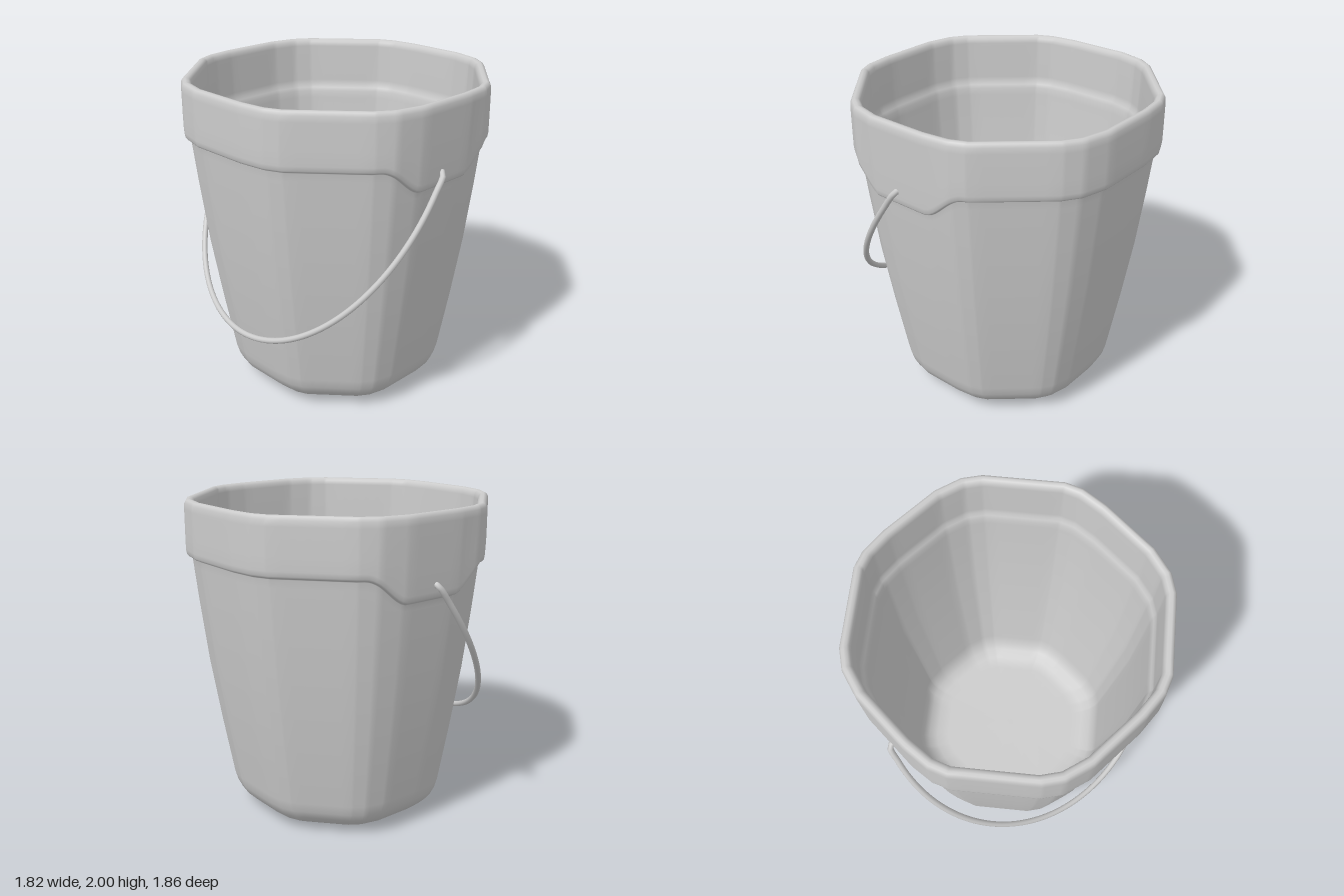
import * as THREE from 'three';

const material = new THREE.MeshStandardMaterial({ color: 0xcccccc, side: THREE.DoubleSide });
const { smoothstep } = THREE.MathUtils;

// Rounded octagon, slightly twisted: one quarter, repeated four times and subdivided.
function octagonOutline(steps) {
  const quarter = [[0.81, -0.46], [0.86, -0.36], [0.89, -0.19], [0.908, 0.19], [0.875, 0.36], [0.81, 0.47]];
  const corners = [];
  for (let q = 0; q < 4; q++) {
    for (const [x, z] of quarter) {
      corners.push([[x, z], [-z, x], [-x, -z], [z, -x]][q]);
    }
  }
  const points = [];
  corners.forEach(([x, z], i) => {
    const [nx, nz] = corners[(i + 1) % corners.length];
    for (let s = 0; s < steps; s++) {
      const t = s / steps;
      points.push([x + (nx - x) * t, z + (nz - z) * t]);
    }
  });
  return points;
}

// Outside, from the base up to the rim: [radius, height].
const outside = [
  [0.3, 0], [0.46, 0], [0.52, 0.02], [0.58, 0.055], [0.63, 0.105], [0.655, 0.155],
  [0.673, 0.22], [0.738, 0.6], [0.8, 1], [0.845, 1.38], [0.868, 1.6], [0.873, 1.648],
  [0.877, 1.653], [0.896, 1.66], [0.905, 1.672], [0.909, 1.7], [0.909, 1.78], [0.908, 1.94],
];

// Over the rim, past the ledge and down to the inner floor.
const inside = [
  [0.906, 1.975], [0.896, 1.994], [0.882, 2], [0.864, 1.996], [0.851, 1.982], [0.845, 1.955],
  [0.84, 1.72], [0.837, 1.69], [0.826, 1.668], [0.816, 1.645], [0.812, 1.6], [0.765, 1],
  [0.64, 0.23], [0.62, 0.16], [0.585, 0.11], [0.53, 0.08], [0.45, 0.07],
];

// How far the handle tabs pull a point down (0..1): front and back only,
// strongest at the lower edge of the rim band.
function tabAmount(x, z, y) {
  if (Math.abs(z) < 0.6) return 0;
  const across = 1 - smoothstep(Math.abs(x), 0.18, 0.43);
  return across * smoothstep(y, 1.38, 1.648) * (1 - smoothstep(y, 1.68, 1.94));
}

function bucketGeometry() {
  const outline = octagonOutline(6);
  const n = outline.length;
  const positions = [];
  const index = [];
  const addRing = (radius, y, hasTab) => {
    for (const [x, z] of outline) {
      const tab = hasTab ? tabAmount(x, z, y) : 0;
      const scale = (radius - 0.015 * tab) / 0.908;
      positions.push(x * scale, y - 0.15 * tab, z * scale);
    }
  };
  outside.forEach(([radius, y]) => addRing(radius, y, true));
  inside.forEach(([radius, y]) => addRing(radius, y, false));

  const last = (outside.length + inside.length - 1) * n;
  for (let ring = 0; ring < last; ring += n) {
    for (let i = 0; i < n; i++) {
      const a = ring + i, b = ring + (i + 1) % n;
      index.push(a, a + n, b, b, a + n, b + n);
    }
  }
  // Close the underside and the inner floor.
  const under = positions.length / 3;
  positions.push(0, 0, 0, 0, 0.07, 0);
  for (let i = 0; i < n; i++) {
    const j = (i + 1) % n;
    index.push(under, i, j, under + 1, last + j, last + i);
  }
  const geometry = new THREE.BufferGeometry();
  geometry.setAttribute('position', new THREE.Float32BufferAttribute(positions, 3));
  geometry.setIndex(index);
  geometry.computeVertexNormals();
  return geometry;
}

// Wire bail: part of an ellipse in a plane hanging down towards -x.
function handleGeometry() {
  const points = [];
  const start = Math.asin(-0.2 / 1.16);
  for (let i = 0; i <= 32; i++) {
    const angle = start + (Math.PI - 2 * start) * (i / 32);
    const along = (0.2 + 1.16 * Math.sin(angle)) / 1.36;
    points.push(new THREE.Vector3(-0.025 - 0.775 * along, 1.585 - 1.09 * along, 0.915 * Math.cos(angle)));
  }
  // Ends turn inwards into the tabs.
  points.unshift(new THREE.Vector3(-0.02, 1.595, 0.86));
  points.push(new THREE.Vector3(-0.02, 1.595, -0.86));
  return new THREE.TubeGeometry(new THREE.CatmullRomCurve3(points), 120, 0.018, 10, false);
}

export function createModel() {
  const group = new THREE.Group();
  group.name = 'bucket';
  const body = new THREE.Mesh(bucketGeometry(), material);
  body.name = 'bucketBody';
  const handle = new THREE.Mesh(handleGeometry(), material);
  handle.name = 'handle';
  group.add(body, handle);
  return group;
}
